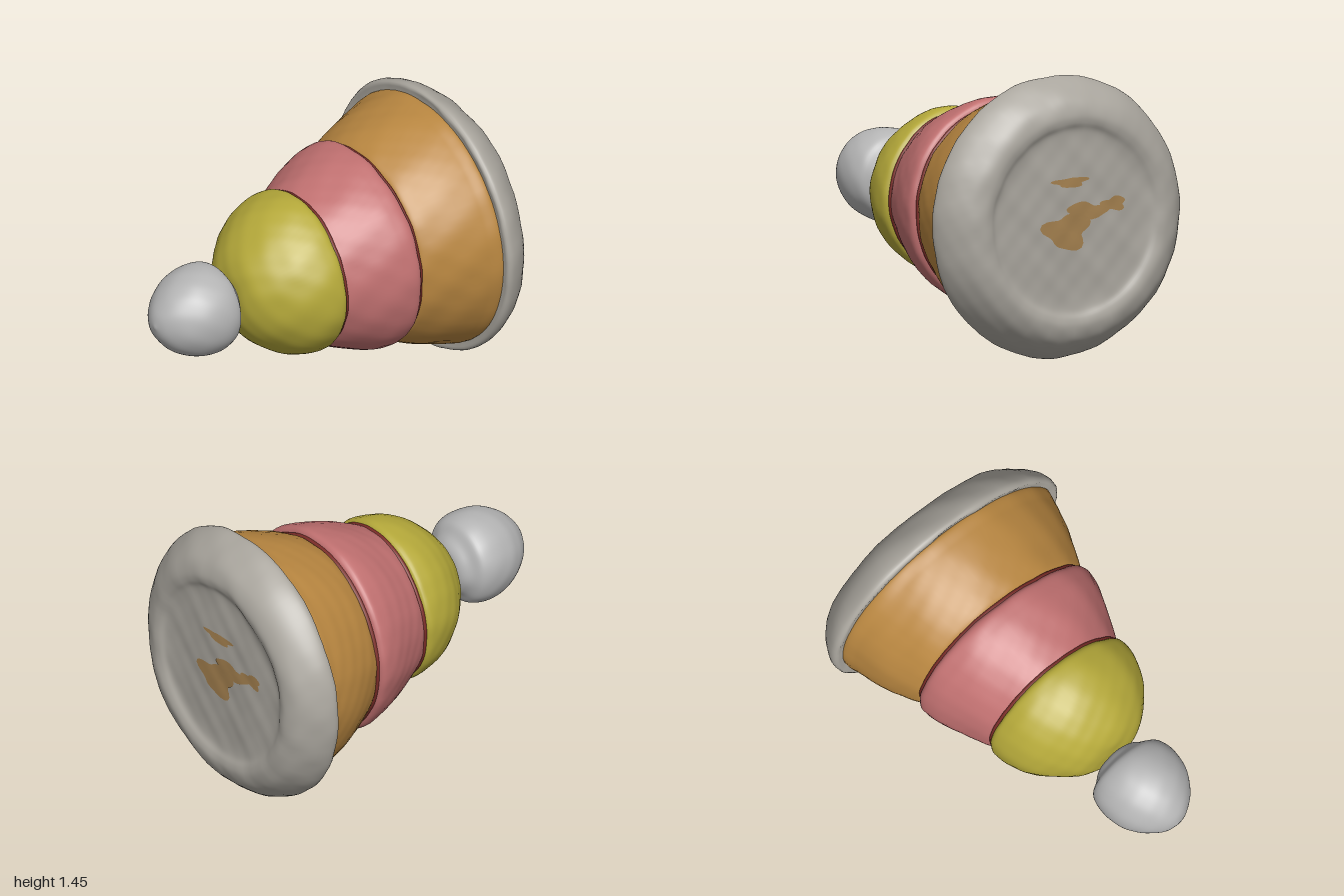
import * as THREE from 'three';
import { mergeVertices } from 'three/addons/utils/BufferGeometryUtils.js';

// The stack leans slightly: centre line as a function of z
const centreX = (z) => 0.04 + 0.045 * z;
const centreY = (z) => 0.735 + 0.01 * z;

// Smooth hand-modelled clay unevenness
function lump(x, y, z) {
  return 0.005 * Math.sin(7 * x + 3 * z + 1) * Math.sin(6 * y - 4 * z)
    + 0.003 * Math.sin(19 * x - 11 * y + 5) * Math.sin(17 * z + 13 * y)
    + 0.0015 * Math.sin(43 * x + 21 * z) * Math.sin(39 * y - 27 * z + 2);
}

// Weld, shift on to the centre line and push vertices along their normals
function clay(geometry, amount = 1) {
  geometry.deleteAttribute('uv');
  geometry.deleteAttribute('normal');
  const g = mergeVertices(geometry, 1e-5);
  g.computeVertexNormals();
  const p = g.attributes.position, n = g.attributes.normal;
  for (let i = 0; i < p.count; i++) {
    const x = p.getX(i), y = p.getY(i), z = p.getZ(i);
    const d = amount * lump(x, y, z);
    p.setXYZ(i, x + n.getX(i) * d + centreX(z), y + n.getY(i) * d + centreY(z), z + n.getZ(i) * d);
  }
  g.computeVertexNormals();
  return g;
}

// Solid of revolution about z from [z, radius] pairs, back to front
function turned(profile, samples = 64) {
  const curve = new THREE.CatmullRomCurve3(
    profile.map(([z, r]) => new THREE.Vector3(r, z, 0)), false, 'centripetal');
  const points = curve.getSpacedPoints(samples).map((v) => new THREE.Vector2(Math.max(0, v.x), v.y));
  return new THREE.LatheGeometry(points, 96).rotateX(Math.PI / 2);
}

export function createModel() {
  const group = new THREE.Group();
  const add = (name, geometry, color, amount) => {
    const mesh = new THREE.Mesh(clay(geometry, amount), new THREE.MeshStandardMaterial({ color }));
    mesh.name = name;
    group.add(mesh);
  };

  // Wide base disc with a rounded rim and a shallow recessed back
  add('base', turned([
    [-0.965, 0], [-0.966, 0.25], [-0.968, 0.46], [-0.985, 0.5], [-0.99, 0.54], [-0.965, 0.61],
    [-0.9, 0.675], [-0.83, 0.715], [-0.79, 0.722], [-0.772, 0.71], [-0.775, 0.68], [-0.78, 0.6],
  ], 90), 0xaaa69e);

  // Flared lower ring
  add('lowerRing', turned([
    [-0.79, 0.6], [-0.785, 0.668], [-0.7, 0.655], [-0.6, 0.627], [-0.5, 0.59], [-0.4, 0.545],
    [-0.36, 0.515], [-0.345, 0.47],
  ]), 0xb88640);

  // Middle ring
  add('middleRing', turned([
    [-0.35, 0.47], [-0.345, 0.525], [-0.325, 0.545], [-0.25, 0.538], [-0.15, 0.505], [-0.05, 0.458],
    [0.03, 0.418], [0.055, 0.4], [0.06, 0.36],
  ]), 0xc07070);

  // Domed upper ring
  add('upperDome', turned([
    [0.05, 0.36], [0.058, 0.41], [0.075, 0.428], [0.13, 0.428], [0.2, 0.41], [0.3, 0.36],
    [0.4, 0.275], [0.46, 0.2], [0.49, 0.125], [0.497, 0.06], [0.5, 0],
  ]), 0xb5a93a);

  // Ball on the tip, flattened where it faces the dome
  add('tipBall', turned([
    [0.522, 0], [0.522, 0.1], [0.535, 0.13], [0.565, 0.165], [0.6, 0.215], [0.65, 0.235],
    [0.72, 0.238], [0.8, 0.222], [0.87, 0.187], [0.93, 0.138], [0.98, 0.07], [1.0, 0],
  ]), 0xb4b4b4, 0.6);

  // Dark seams in the grooves between the rings
  for (const [name, z, r] of [['lowerSeam', -0.35, 0.51], ['upperSeam', 0.054, 0.4]]) {
    add(name, new THREE.TorusGeometry(r, 0.016, 10, 96).translate(0, 0, z), 0x7a2c28);
  }

  // Worn orange patches on the back
  const patches = [[0.04, -0.05, 0.13, 0.09], [-0.07, 0.04, 0.12, 0.05], [-0.24, 0.07, 0.07, 0.035],
    [0.02, 0.2, 0.1, 0.025]];
  for (const [x, y, w, h] of patches) {
    const g = new THREE.RingGeometry(0, 1, 32, 6).rotateY(Math.PI);
    const p = g.attributes.position;
    for (let i = 0; i < p.count; i++) {
      const a = Math.atan2(p.getY(i), p.getX(i));
      const k = 1 + 0.2 * Math.sin(3 * a + x * 20) + 0.1 * Math.sin(5 * a);
      p.setXYZ(i, x + p.getX(i) * w * k, y + p.getY(i) * h * k, -0.969);
    }
    add('wornPatch', g, 0xa5814f);
  }
  return group;
}
